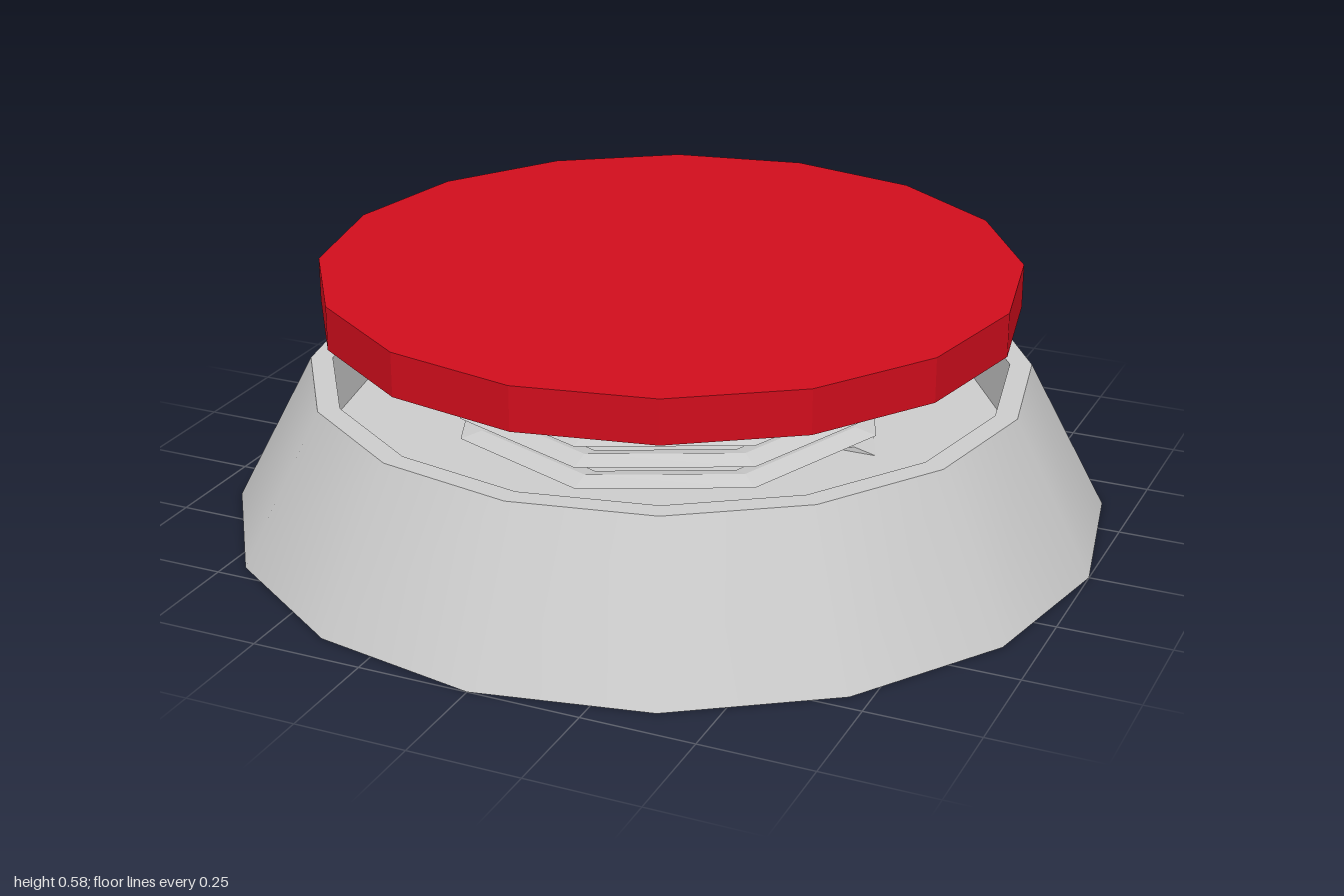
import * as THREE from 'three';

const SIDES = 16;
const grey = new THREE.MeshStandardMaterial({ color: 0xcccccc });
const greyFlat = new THREE.MeshStandardMaterial({ color: 0xcccccc, flatShading: true });
const red = new THREE.MeshStandardMaterial({ color: 0xd00d1c, flatShading: true });

function add(group, name, geometry, material, y = 0) {
  const mesh = new THREE.Mesh(geometry, material);
  mesh.name = name;
  mesh.position.y = y;
  group.add(mesh);
}

// Flat coil: a diamond section swept up a helix, eight steps per turn
function coilGeometry(radius, halfWidth, halfHeight, y0, pitch, turns) {
  const steps = turns * 8, pos = [], index = [];
  const section = [[1, 0], [0, 1], [-1, 0], [0, -1]];
  for (let i = 0; i <= steps; i++) {
    const a = (i / 8) * Math.PI * 2, y = y0 + (pitch * i) / 8;
    for (const [u, v] of section) {
      const r = radius + u * halfWidth;
      pos.push(r * Math.cos(a), y + v * halfHeight, -r * Math.sin(a));
    }
  }
  for (let i = 0; i < steps; i++) {
    for (let j = 0; j < 4; j++) {
      const a = i * 4 + j, b = i * 4 + ((j + 1) % 4);
      index.push(a, a + 4, b, b, a + 4, b + 4);
    }
  }
  const e = steps * 4;
  index.push(0, 1, 2, 0, 2, 3, e, e + 2, e + 1, e, e + 3, e + 2);
  const g = new THREE.BufferGeometry();
  g.setAttribute('position', new THREE.Float32BufferAttribute(pos, 3));
  g.setIndex(index);
  g.computeVertexNormals();
  return g;
}

export function createModel() {
  const model = new THREE.Group();
  model.name = 'pushButton';

  // Sloping housing, smooth around its outside
  const base = new THREE.Group();
  base.name = 'base';
  add(base, 'housing', new THREE.CylinderGeometry(0.82, 1, 0.345, SIDES, 1, true), grey, 0.1725);

  // Underside, recess floor, recess wall and rim
  const profile = [[0, 0.2], [0.77, 0.2], [0.77, 0.345], [0.82, 0.345]];
  const recess = new THREE.LatheGeometry(profile.map(([x, y]) => new THREE.Vector2(x, y)), SIDES);
  const recessMaterial = greyFlat.clone();
  recessMaterial.side = THREE.DoubleSide;
  add(base, 'recess', recess, recessMaterial);
  const underside = new THREE.CircleGeometry(1, SIDES).rotateX(Math.PI / 2);
  add(base, 'underside', underside, greyFlat);
  model.add(base);

  // Spring between the recess floor and the plunger
  const springMaterial = greyFlat.clone();
  springMaterial.side = THREE.DoubleSide;
  add(model, 'spring', coilGeometry(0.45, 0.05, 0.012, 0.2, 0.049, 4.5), springMaterial);

  // Red plunger and wider cap
  const button = new THREE.Group();
  button.name = 'button';
  add(button, 'plunger', new THREE.CylinderGeometry(0.63, 0.63, 0.07, SIDES), red, 0.45);
  add(button, 'cap', new THREE.CylinderGeometry(0.79, 0.79, 0.1, SIDES), red, 0.535);
  model.add(button);

  return model;
}
